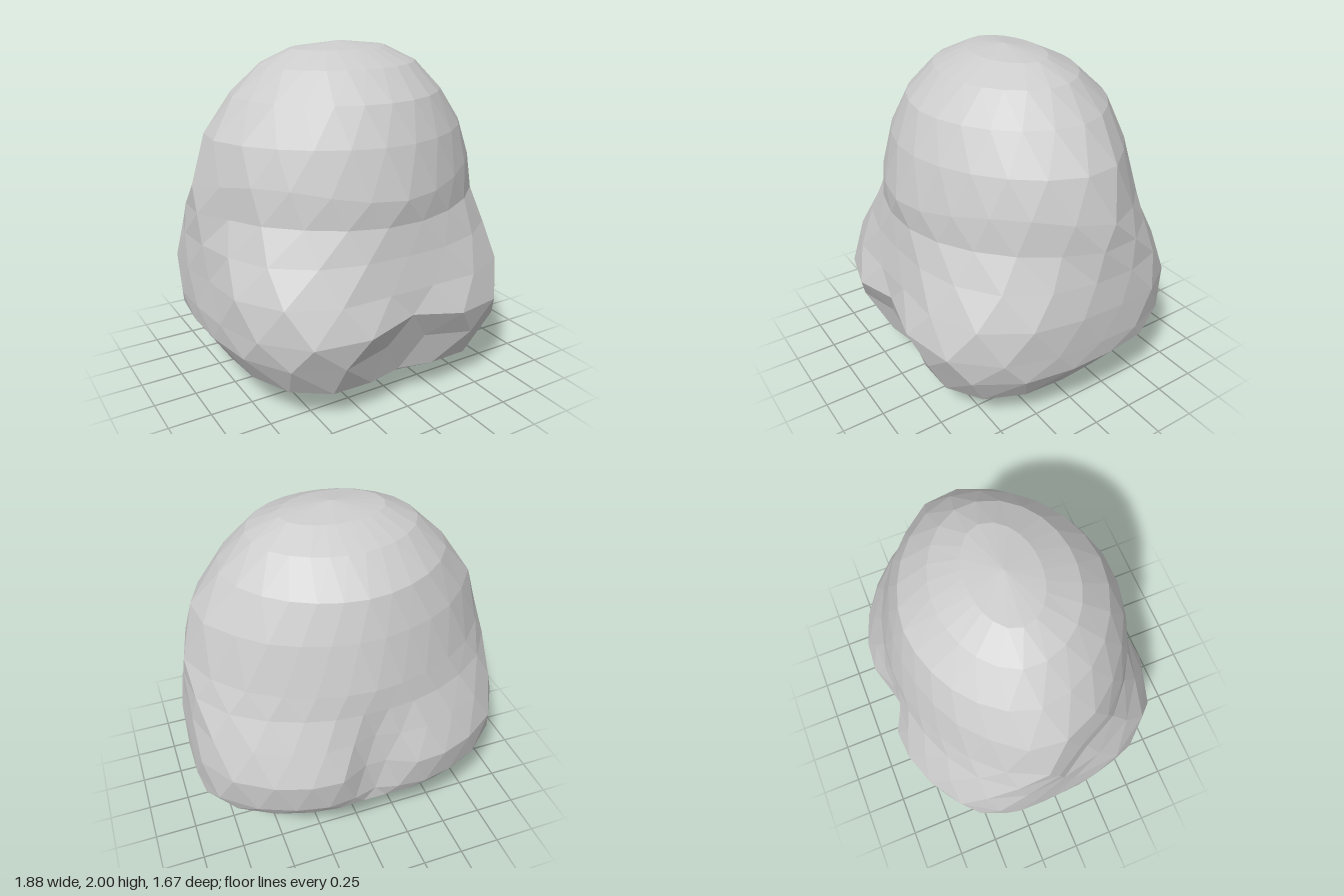
import * as THREE from 'three';

const SIDES = 24;

// Cross-sections from crown to chin:
// height, half width, front z, back z, z of widest point, squareness of front and back, tilt
const RINGS = [
  [1.965, 0.30, 0.17, -0.22, -0.04, 2, 2, 0],
  [1.88, 0.48, 0.36, -0.40, -0.05, 2, 1.9, 0],
  [1.72, 0.65, 0.53, -0.58, -0.08, 1.9, 1.8, 0],
  [1.51, 0.82, 0.63, -0.65, -0.1, 1.8, 1.75, 0],
  [1.23, 0.90, 0.70, -0.72, -0.12, 1.75, 1.75, 0],
  [1.09, 0.92, 0.69, -0.74, -0.17, 1.95, 1.85, 0],
  [0.92, 0.93, 0.72, -0.80, -0.25, 2.6, 2, 0],
  [0.73, 0.94, 0.78, -0.87, -0.3, 3.3, 2.1, 0],
  [0.53, 0.94, 0.86, -0.84, -0.3, 3.1, 2.1, 0],
  [0.41, 0.93, 0.81, -0.79, -0.25, 3.1, 2.1, -0.05],
  [0.26, 0.82, 0.73, -0.64, -0.1, 3.1, 2.1, -0.1],
  [0.12, 0.54, 0.56, -0.33, 0.05, 2.6, 2, 0],
  [0.01, 0.2, 0.22, -0.16, 0.03, 2, 2, 0],
];

// Soft dents: centre x, y, z, spread x, y, z, depth
const DENTS = [
  [0, 0.36, 0.8, 0.26, 0.17, 0.3, 0.12], // mouth hollow between the jowls
  [0, 0.62, 0.8, 0.18, 0.2, 0.3, 0.05], // cleft above the mouth
  [0, 0.72, -0.82, 0.17, 0.24, 0.25, 0.14], // cleft at the nape
  [-0.9, 0.95, 0.12, 0.2, 0.3, 0.12, 0.06], // hollows behind the cheeks
  [0.9, 1.0, 0.1, 0.2, 0.16, 0.12, 0.03],
];
for (const side of [1, -1]) {
  DENTS.push(
    [side * 0.74, 1.42, -0.32, 0.3, 0.25, 0.14, 0.03], // temple grooves
    [side * 0.92, 0.85, -0.3, 0.2, 0.2, 0.12, 0.02] // side grooves
  );
}

const bump = (v, centre, spread) => Math.exp(-(((v - centre) / spread) ** 2));

function ringPoint([y, w, front, back, zc, nFront, nBack, tilt], angle) {
  const s = Math.sin(angle), c = Math.cos(angle);
  const depth = c > 0 ? front - zc : zc - back;
  const n = c > 0 ? nFront : nBack;
  const r = (Math.abs(s / w) ** n + Math.abs(c / depth) ** n) ** (-1 / n);
  const p = new THREE.Vector3(r * s, y, zc + r * c);
  let push = 0;
  for (const [x0, y0, z0, sx, sy, sz, d] of DENTS) {
    push += d * bump(p.x, x0, sx) * bump(y, y0, sy) * bump(p.z, z0, sz);
  }
  p.x -= push * s;
  p.z -= push * c;
  p.y += tilt * p.z;
  // Brow rises to the sides, lip arches up in the middle
  p.y += 0.1 * bump(y, 1.23, 0.12) * bump(p.z, 0.45, 0.4) * (1 - bump(p.x, 0, 0.5));
  if (p.z > 0.4) p.y += 0.07 * bump(y, 0.5, 0.12) * bump(p.x, 0, 0.3);
  return p;
}

// Staggered rings joined by triangles, closed at crown and chin
function headGeometry() {
  const positions = [], index = [];
  RINGS.forEach((ring, i) => {
    for (let j = 0; j < SIDES; j++) {
      const a = ((j + (i % 2) * 0.5) / SIDES) * Math.PI * 2;
      positions.push(...ringPoint(ring, a).toArray());
    }
  });
  const at = (i, j) => i * SIDES + (j % SIDES);
  const last = RINGS.length - 1;
  const crown = RINGS.length * SIDES, chin = crown + 1;
  positions.push(0, 2, -0.02, 0, 0, 0.03);

  for (let j = 0; j < SIDES; j++) {
    index.push(crown, at(0, j), at(0, j + 1));
    for (let i = 0; i < last; i++) {
      const u = at(i, j), u1 = at(i, j + 1), l = at(i + 1, j), l1 = at(i + 1, j + 1);
      if (i % 2) index.push(u, l, l1, u, l1, u1);
      else index.push(u, l, u1, l, l1, u1);
    }
    index.push(chin, at(last, j + 1), at(last, j));
  }
  const g = new THREE.BufferGeometry();
  g.setAttribute('position', new THREE.Float32BufferAttribute(positions, 3));
  g.setIndex(index);
  const flat = g.toNonIndexed();
  flat.computeVertexNormals();
  return flat;
}

export function createModel() {
  const group = new THREE.Group();
  group.name = 'lowPolyHead';
  const head = new THREE.Mesh(
    headGeometry(),
    new THREE.MeshStandardMaterial({ color: 0xcccccc, flatShading: true })
  );
  head.name = 'head';
  group.add(head);
  return group;
}
